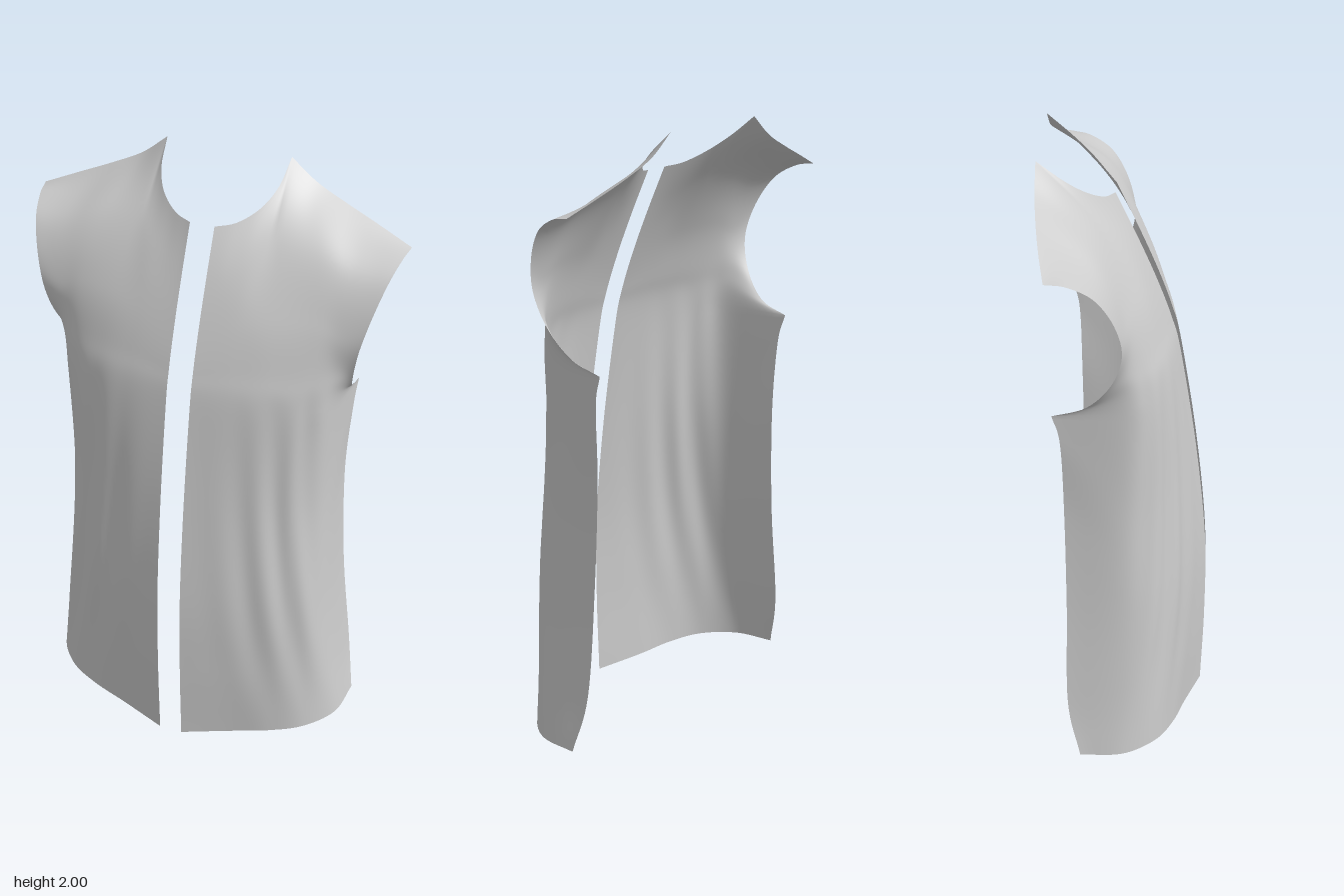
import * as THREE from 'three';

const spline = (pts) =>
  new THREE.CatmullRomCurve3(pts.map((p) => (p.isVector3 ? p : new THREE.Vector3(...p))), false, 'catmullrom', 0.5);

// Vertical guide lines of one front panel, hem to top, from the opening to the side
const opening = spline([[0.04, 0.005, 0.253], [0.04, 0.3, 0.262], [0.04, 0.6, 0.258], [0.04, 0.95, 0.222],
  [0.04, 1.3, 0.167], [0.04, 1.42, 0.137], [0.04, 1.55, 0.09], [0.04, 1.69, 0.03], [0.04, 1.84, -0.04]]);
const neckLine = spline([[0.2, 0.02, 0.2], [0.19, 0.3, 0.215], [0.185, 0.6, 0.215], [0.18, 0.95, 0.19],
  [0.18, 1.3, 0.15], [0.17, 1.44, 0.115], [0.16, 1.58, 0.065], [0.15, 1.73, -0.01], [0.155, 1.885, -0.115]]);
const chestLine = spline([[0.33, 0.035, 0.162], [0.31, 0.3, 0.17], [0.295, 0.6, 0.172], [0.285, 0.95, 0.152],
  [0.29, 1.3, 0.125], [0.28, 1.44, 0.095], [0.26, 1.6, 0.04], [0.23, 1.8, -0.08], [0.205, 2, -0.265]]);
const shoulderLine = spline([[0.44, 0.045, 0.105], [0.41, 0.3, 0.115], [0.385, 0.6, 0.12], [0.368, 0.95, 0.105],
  [0.38, 1.3, 0.085], [0.39, 1.44, 0.06], [0.39, 1.6, 0.015], [0.39, 1.77, -0.08], [0.39, 1.885, -0.25]]);
const sideLine = spline([[0.52, 0.05, 0], [0.485, 0.3, 0.02], [0.455, 0.6, 0.03], [0.437, 0.95, 0.02],
  [0.448, 1.3, 0.015], [0.46, 1.43, 0.015], [0.47, 1.57, 0.008], [0.495, 1.735, -0.07], [0.5, 1.837, -0.235]]);

// The outer edge is a side seam below and an armhole above, meeting in a corner
const sideSeam = spline([[0.537, 0.055, -0.14], [0.505, 0.25, -0.18], [0.468, 0.6, -0.18],
  [0.453, 0.95, -0.183], [0.466, 1.2, -0.19], [0.473, 1.3, -0.213]]);
const armhole = spline([[0.473, 1.3, -0.213], [0.482, 1.335, -0.11], [0.503, 1.42, -0.035], [0.527, 1.53, 0],
  [0.555, 1.64, -0.02], [0.583, 1.735, -0.075], [0.602, 1.783, -0.15], [0.612, 1.795, -0.215]]);
const outerEdge = { getPoint: (v) => (v <= 0.5 ? sideSeam.getPoint(v * 2) : armhole.getPoint(v * 2 - 1)) };
const guides = [opening, neckLine, chestLine, shoulderLine, sideLine, outerEdge];

// The top edge is a curved neckline and a shoulder seam, meeting at the neck point
const neckline = spline([[0.04, 1.84, -0.04], [0.1, 1.85, -0.07], [0.158, 1.885, -0.12],
  [0.193, 1.935, -0.185], [0.205, 2, -0.265]]);
const shoulderSeam = spline([[0.205, 2, -0.265], [0.29, 1.933, -0.262], [0.39, 1.885, -0.252],
  [0.5, 1.84, -0.236], [0.612, 1.795, -0.215]]);
const NECK_U = 0.4;
const topEdge = (u) => (u <= NECK_U ? neckline.getPoint(u / NECK_U) : shoulderSeam.getPoint((u - NECK_U) / (1 - NECK_U)));

// Soft slanting folds at the flank that fade out towards all edges
function fold(u, v) {
  const fade = Math.sin(Math.PI * u) ** 2 * Math.sin(Math.PI * Math.min(1, v / 0.6)) ** 2;
  return 0.008 * fade * Math.sin(26 * u + 12 * v);
}

function panelGeometry(side) {
  const NU = 50, NV = 80, positions = [], index = [];
  for (let j = 0; j <= NV; j++) {
    const v = j / NV;
    const row = spline(guides.map((g) => g.getPoint(v)));
    const pull = THREE.MathUtils.smoothstep(v, 0.8, 1);
    const topRow = pull > 0 ? spline(guides.map((g) => g.getPoint(1))) : null;
    for (let i = 0; i <= NU; i++) {
      const u = i / NU;
      const p = row.getPoint(u);
      const f = fold(u, v);
      p.x += f * u;
      p.z += f * (1 - u * 0.5);
      // draw the upper rows onto the exact neckline and shoulder
      if (topRow) p.addScaledVector(topEdge(u).sub(topRow.getPoint(u)), pull);
      positions.push(p.x * side, p.y, p.z);
      if (i < NU && j < NV) {
        const a = j * (NU + 1) + i, b = a + 1, c = a + NU + 1, d = c + 1;
        if (side > 0) index.push(a, b, d, a, d, c);
        else index.push(a, d, b, a, c, d);
      }
    }
  }
  const geometry = new THREE.BufferGeometry();
  geometry.setAttribute('position', new THREE.Float32BufferAttribute(positions, 3));
  geometry.setIndex(index);
  geometry.computeVertexNormals();
  return geometry;
}

export function createModel() {
  const group = new THREE.Group();
  group.name = 'openVestFront';
  const cloth = new THREE.MeshStandardMaterial({ color: 0xcccccc, side: THREE.DoubleSide });
  for (const side of [1, -1]) {
    const panel = new THREE.Mesh(panelGeometry(side), cloth);
    panel.name = side > 0 ? 'leftFrontPanel' : 'rightFrontPanel';
    group.add(panel);
  }
  return group;
}
